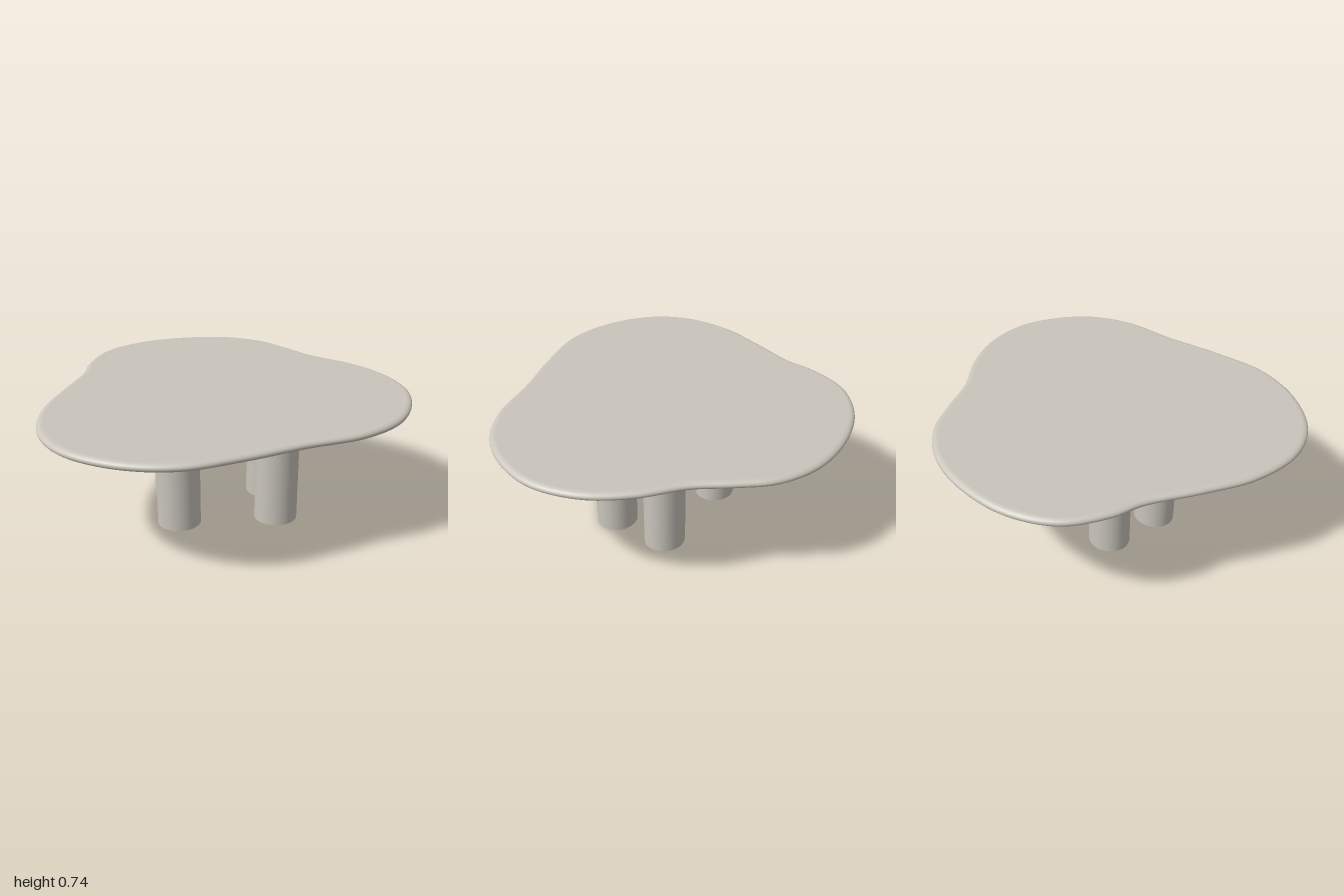
import * as THREE from 'three';

// Outline of the top as [x, z], clockwise seen from above
const OUTLINE = [
  [-0.13, -0.97], [0.136, -0.939], [0.334, -0.832], [0.468, -0.676], [0.596, -0.505], [0.794, -0.329],
  [0.94, -0.12], [1.0, 0.137], [0.949, 0.365], [0.815, 0.575], [0.6, 0.714], [0.297, 0.792],
  [0, 0.89], [-0.318, 0.96], [-0.6, 0.906], [-0.853, 0.74], [-0.98, 0.51], [-0.99, 0.217],
  [-0.91, -0.05], [-0.803, -0.335], [-0.778, -0.505], [-0.676, -0.735], [-0.452, -0.9],
];
const TOP_Y = 0.736, BOTTOM_Y = 0.692, ROUND = 0.032;
const N = 200, RINGS = 12;

export function createModel() {
  const group = new THREE.Group();
  const stone = new THREE.MeshStandardMaterial({ color: 0xc9c5bc });
  stone.name = 'warm grey';

  const add = (geometry, name) => {
    const mesh = new THREE.Mesh(geometry, stone);
    mesh.name = name;
    group.add(mesh);
    return mesh;
  };

  // Smooth closed curve and its outward normals
  const curve = new THREE.CatmullRomCurve3(OUTLINE.map(([x, z]) => new THREE.Vector3(x, 0, z)), true);
  const edge = [];
  for (let i = 0; i < N; i++) {
    const p = curve.getPointAt(i / N), t = curve.getTangentAt(i / N);
    edge.push({ x: p.x, z: p.z, nx: t.z, nz: -t.x });
  }
  const inset = (e, d) => [e.x - e.nx * d, e.z - e.nz * d];

  // Rounded rim: a half ellipse swept round the outline
  const mid = (TOP_Y + BOTTOM_Y) / 2, half = (TOP_Y - BOTTOM_Y) / 2;
  const positions = [], indices = [];
  for (let r = 0; r <= RINGS; r++) {
    const a = Math.PI / 2 - (Math.PI * r) / RINGS;
    for (const e of edge) {
      const [x, z] = inset(e, ROUND * (1 - Math.cos(a)));
      positions.push(x, mid + half * Math.sin(a), z);
    }
  }
  for (let r = 0; r < RINGS; r++) {
    for (let i = 0; i < N; i++) {
      const a = r * N + i, b = r * N + ((i + 1) % N), c = a + N, d = b + N;
      indices.push(a, b, c, b, d, c);
    }
  }
  const rim = new THREE.BufferGeometry();
  rim.setAttribute('position', new THREE.Float32BufferAttribute(positions, 3));
  rim.setIndex(indices);
  rim.computeVertexNormals();
  add(rim, 'tabletopRim');

  // Flat faces closing the rim
  const shape = new THREE.Shape(edge.map((e) => {
    const [x, z] = inset(e, ROUND);
    return new THREE.Vector2(x, -z);
  }));
  const top = new THREE.ShapeGeometry(shape).rotateX(-Math.PI / 2).translate(0, TOP_Y, 0);
  add(top, 'tabletopSurface');

  const under = new THREE.Shape(edge.map((e) => new THREE.Vector2(...inset(e, ROUND))));
  add(new THREE.ShapeGeometry(under).rotateX(Math.PI / 2).translate(0, BOTTOM_Y, 0), 'tabletopUnderside');

  // Four thick, slightly oval legs
  const legGeometry = new THREE.CylinderGeometry(1, 1, BOTTOM_Y, 64);
  legGeometry.scale(0.122, 1, 0.114);
  for (const [x, xName] of [[-0.288, 'Right'], [0.266, 'Left']]) {
    for (const [z, zName] of [[0.194, 'front'], [-0.14, 'back']]) {
      add(legGeometry, `${zName}${xName}Leg`).position.set(x, BOTTOM_Y / 2, z);
    }
  }
  return group;
}
